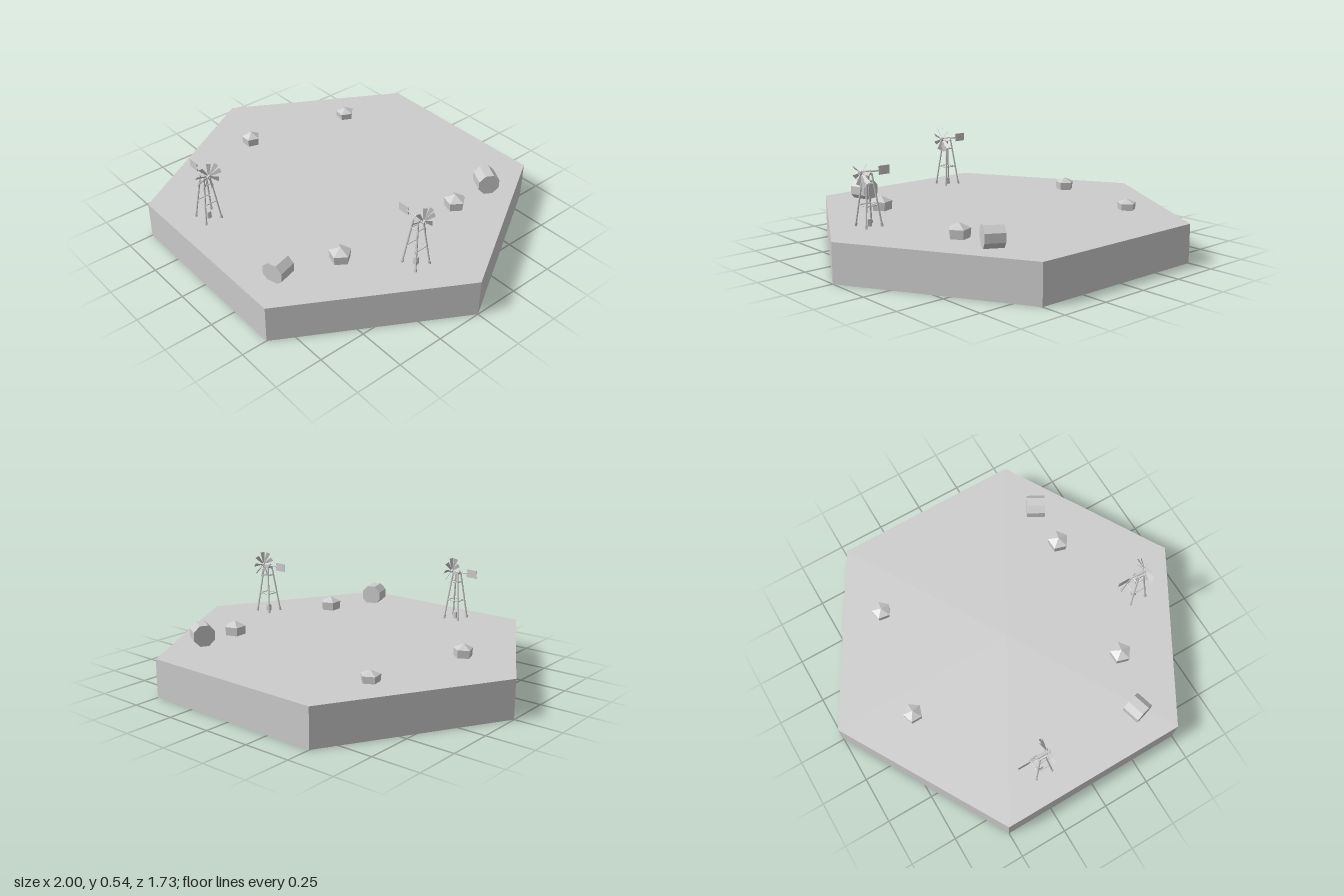
import * as THREE from 'three';

const stone = new THREE.MeshStandardMaterial({ color: 0xcccccc, side: THREE.DoubleSide });
stone.name = 'plain grey';
const GROUND = 0.2;

function part(parent, name, geometry, x = 0, y = 0, z = 0) {
  // facets stay sharp through unshared vertices
  const g = geometry.index ? geometry.toNonIndexed() : geometry;
  g.computeVertexNormals();
  const mesh = new THREE.Mesh(g, stone);
  mesh.name = name;
  mesh.position.set(x, y, z);
  parent.add(mesh);
  return mesh;
}

// round bar between two points
function bar(parent, name, a, b, radius, sides = 6) {
  const from = new THREE.Vector3(...a), to = new THREE.Vector3(...b);
  const dir = to.clone().sub(from);
  const mesh = part(parent, name, new THREE.CylinderGeometry(radius, radius, dir.length(), sides));
  mesh.position.copy(from).add(to).multiplyScalar(0.5);
  mesh.quaternion.setFromUnitVectors(new THREE.Vector3(0, 1, 0), dir.normalize());
  return mesh;
}

function windmill(x, z) {
  const mill = new THREE.Group();
  mill.name = 'windmill';
  mill.position.set(x, GROUND, z);

  // tapering tower with four legs, feet and brace rings
  const half = (y) => 0.046 - 0.031 * (y / 0.26);
  const corners = [[1, 1], [1, -1], [-1, -1], [-1, 1]];
  const at = (c, y) => [c[0] * half(y), y, c[1] * half(y)];
  corners.forEach((c, i) => {
    const next = corners[(i + 1) % 4];
    bar(mill, 'leg', at(c, -0.008), at(c, 0.26), 0.0045);
    bar(mill, 'foot', at(c, -0.004), at(c, 0.018), 0.007);
    for (const y of [0.105, 0.21]) bar(mill, 'brace', at(c, y), at(next, y), 0.003);
  });
  part(mill, 'towerCap', new THREE.BoxGeometry(0.036, 0.01, 0.036), 0, 0.258, 0);
  part(mill, 'pump', new THREE.CylinderGeometry(0.013, 0.016, 0.045, 8, 1), 0, 0.014, 0);

  // shaft, gearbox and tail vane
  const hubY = 0.266;
  bar(mill, 'shaft', [-0.075, hubY, 0], [0.052, hubY, 0], 0.004);
  bar(mill, 'gearbox', [-0.02, hubY, 0], [0.02, hubY, 0], 0.009, 8);
  part(mill, 'tailVane', new THREE.BoxGeometry(0.062, 0.044, 0.004), -0.096, hubY, 0);

  // nine pitched blades around the hub, facing +x
  const rotor = new THREE.Group();
  rotor.name = 'rotor';
  rotor.position.set(0.034, hubY, 0);
  mill.add(rotor);
  bar(rotor, 'hub', [-0.01, 0, 0], [0.012, 0, 0], 0.011, 8);
  const outline = new THREE.Shape([
    new THREE.Vector2(-0.003, 0.008), new THREE.Vector2(0.003, 0.008),
    new THREE.Vector2(0.012, 0.071), new THREE.Vector2(-0.012, 0.071),
  ]);
  for (let i = 0; i < 9; i++) {
    const spoke = new THREE.Group();
    spoke.name = 'bladeArm';
    spoke.rotation.x = THREE.MathUtils.degToRad(-5 + 40 * i);
    rotor.add(spoke);
    part(spoke, 'blade', new THREE.ShapeGeometry(outline)).rotation.y = Math.PI / 2 - 0.6;
  }
  return mill;
}

// eight-sided bale lying on its side, axis turned in plan
function bale(x, y, z, length, width, yaw) {
  const g = new THREE.CylinderGeometry(0.5, 0.5, 1, 8);
  g.rotateY(Math.PI / 8);
  const s = width / Math.cos(Math.PI / 8);
  g.scale(s, length, s);
  g.rotateX(Math.PI / 2);
  g.rotateY(yaw);
  const holder = new THREE.Group();
  holder.name = 'hayBale';
  holder.position.set(x, y, z);
  part(holder, 'baleBody', g);
  return holder;
}

// five-sided boulder with a low pointed top
function rock(x, z, r, h, turn) {
  const profile = [[0, -0.008], [r * 0.92, -0.008], [r, h * 0.62], [0, h]]
    .map(([px, py]) => new THREE.Vector2(px, py));
  const holder = new THREE.Group();
  holder.name = 'rock';
  holder.position.set(x, GROUND, z);
  part(holder, 'rockBody', new THREE.LatheGeometry(profile, 5, turn));
  return holder;
}

export function createModel() {
  const model = new THREE.Group();
  model.name = 'windmillTile';

  // hollow six-sided ground slab, open underneath
  part(model, 'groundWalls',
    new THREE.CylinderGeometry(1, 1, GROUND, 6, 1, true, Math.PI / 2), 0, GROUND / 2, 0);
  part(model, 'groundTop', new THREE.CircleGeometry(1, 6).rotateX(-Math.PI / 2), 0, GROUND, 0);

  model.add(windmill(-0.216, 0.685), windmill(0.705, 0.135));
  model.add(
    bale(0.364, 0.246, 0.685, 0.096, 0.108, 0.28),
    bale(0.508, 0.255, -0.553, 0.098, 0.108, 1.06),
  );
  for (const r of [
    [-0.505, -0.452, 0.051, 0.056, 1.74],
    [-0.63, 0.125, 0.051, 0.067, Math.PI],
    [0.512, -0.32, 0.057, 0.073, 2.85],
    [0.455, 0.39, 0.057, 0.073, 2.85],
  ]) model.add(rock(...r));
  return model;
}
